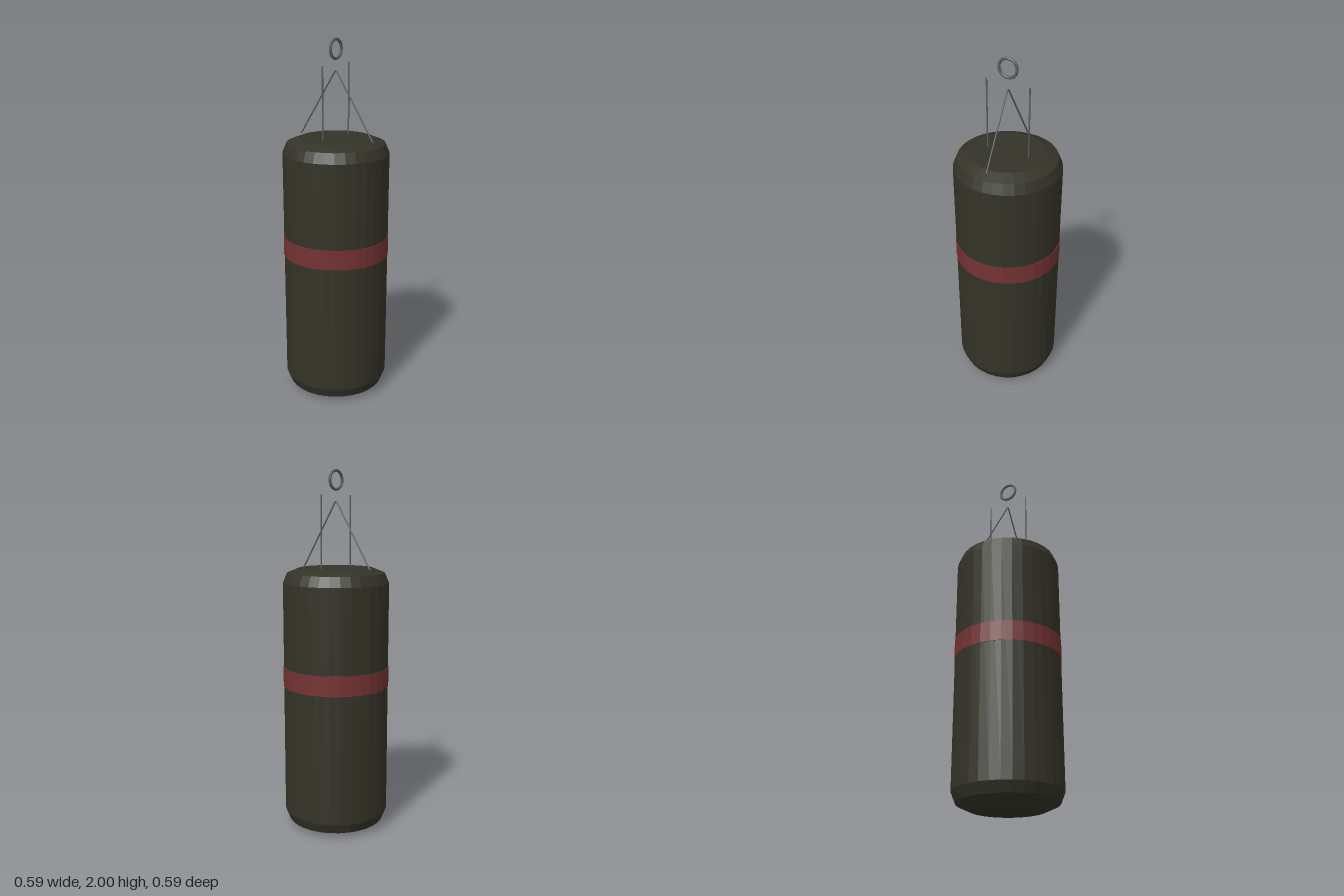
import * as THREE from 'three';

function material(name, color, flatShading = false) {
  const m = new THREE.MeshStandardMaterial({ color, flatShading });
  m.name = name;
  return m;
}

export function createModel() {
  const model = new THREE.Group();
  model.name = 'punchingBag';
  const leather = material('dark olive leather', 0x333328, true);
  const red = material('dark red stripe', 0x743232, true);
  const steel = material('grey steel', 0x5a5c60);

  const add = (name, geometry, mat, x = 0, y = 0, z = 0) => {
    const mesh = new THREE.Mesh(geometry, mat);
    mesh.name = name;
    mesh.position.set(x, y, z);
    model.add(mesh);
    return mesh;
  };

  // Bag with bevelled ends
  const profile = [
    [0, 0], [0.205, 0], [0.27, 0.03], [0.293, 0.087],
    [0.293, 1.39], [0.27, 1.445], [0.205, 1.471], [0, 1.471],
  ].map(([r, y]) => new THREE.Vector2(r, y));
  add('bag', new THREE.LatheGeometry(profile, 32), leather);

  // Stripe around the middle
  add('stripe', new THREE.CylinderGeometry(0.296, 0.296, 0.111, 32), red, 0, 0.868, 0);

  // Four hanging rods: an upright pair at the sides, a leaning pair front and back
  const rod = new THREE.CylinderGeometry(0.0042, 0.0042, 0.427, 8);
  for (const side of [-1, 1]) {
    add(side > 0 ? 'leftRod' : 'rightRod', rod, steel, side * 0.121, 1.65, 0);
    const leaning = add(side > 0 ? 'frontRod' : 'backRod', rod, steel, 0, 1.65, side * 0.12);
    leaning.rotation.x = -side * 0.575;
  }

  // Hanging ring
  add('ring', new THREE.TorusGeometry(0.05, 0.008, 8, 24), steel, 0, 1.942, 0);

  return model;
}
